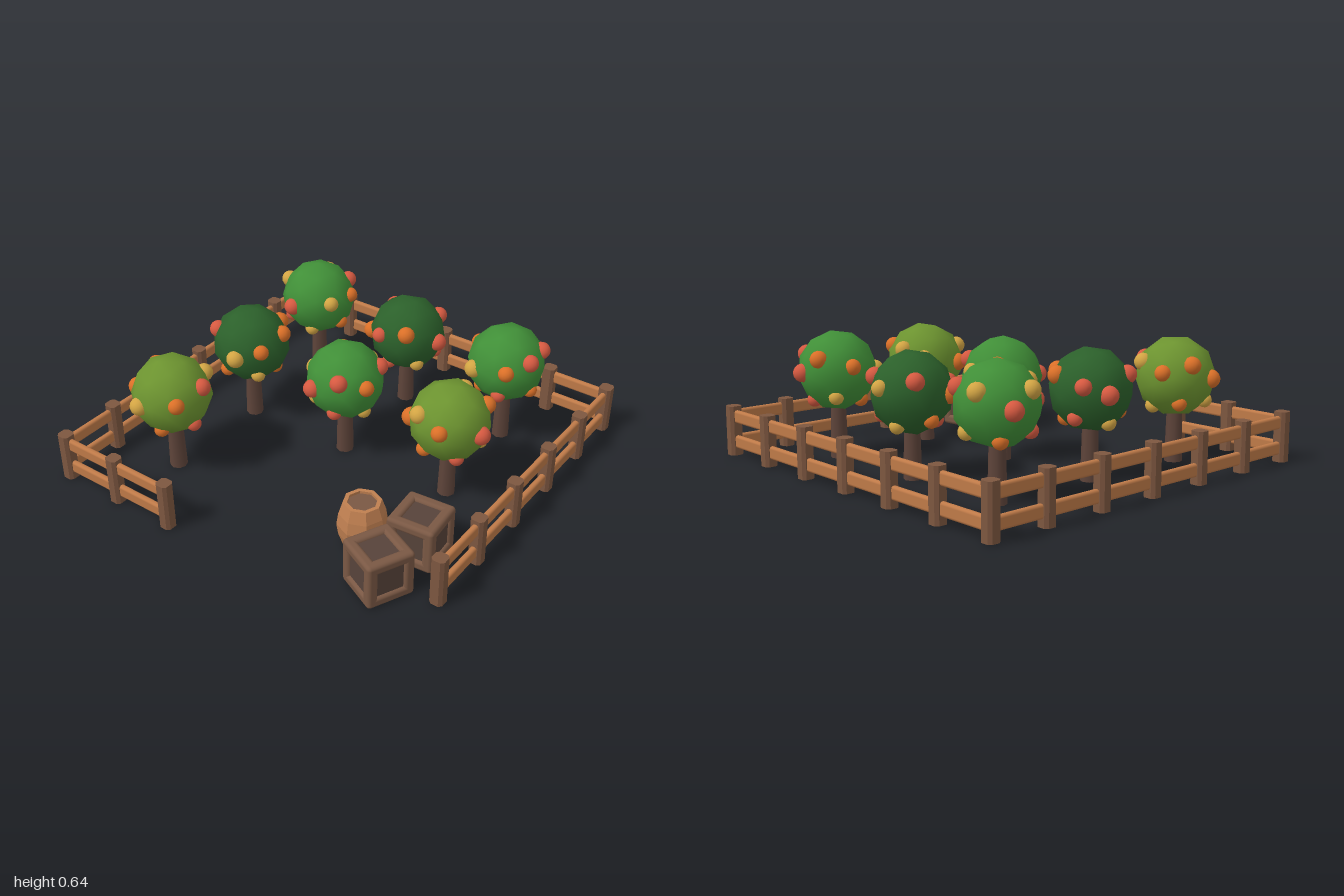
import * as THREE from 'three';
import { RoundedBoxGeometry } from 'three/addons/geometries/RoundedBoxGeometry.js';

const mat = (color, flatShading = false) => new THREE.MeshStandardMaterial({ color, flatShading });
const postMat = mat(0x7d5740), railMat = mat(0xbf7a48), trunkMat = mat(0x5e443a);
const crateMat = mat(0x7a5844), panelMat = mat(0x57433a), barrelMat = mat(0xbf7f50, true);
const leafMats = { medium: mat(0x419038), dark: mat(0x2c612b), olive: mat(0x6d9430) };
const fruitMats = { r: mat(0xd75a41), o: mat(0xdb7028), y: mat(0xd3a544) };

function add(parent, name, geometry, material, x = 0, y = 0, z = 0) {
  const mesh = new THREE.Mesh(geometry, material);
  mesh.name = name;
  mesh.position.set(x, y, z);
  parent.add(mesh);
  return mesh;
}

function group(parent, name, x = 0, y = 0, z = 0) {
  const g = new THREE.Group();
  g.name = name;
  g.position.set(x, y, z);
  parent.add(g);
  return g;
}

// Square post with chamfered upright edges
function postGeometry(w, h, c) {
  const a = w / 2, b = a - c;
  const pts = [[a, -b], [a, b], [b, a], [-b, a], [-a, b], [-a, -b], [-b, -a], [b, -a]];
  const shape = new THREE.Shape(pts.map(([x, y]) => new THREE.Vector2(x, y)));
  return new THREE.ExtrudeGeometry(shape, { depth: h, bevelEnabled: false }).rotateX(-Math.PI / 2);
}

// Fence along a run of posts; two rails span the whole run
const postGeo = postGeometry(0.066, 0.25, 0.014);
function fence(parent, name, points, skipFirst = false) {
  const g = group(parent, name);
  points.forEach(([x, z], i) => {
    if (!(skipFirst && i === 0)) add(g, 'fencePost', postGeo, postMat, x, 0, z);
  });
  const [x0, z0] = points[0], [x1, z1] = points[points.length - 1];
  const length = Math.hypot(x1 - x0, z1 - z0);
  for (const y of [0.07, 0.198]) {
    const rail = add(g, 'fenceRail', new RoundedBoxGeometry(length, 0.064, 0.03, 2, 0.013), railMat,
      (x0 + x1) / 2, y, (z0 + z1) / 2);
    rail.rotation.y = -Math.atan2(z1 - z0, x1 - x0);
  }
}

// Fruit tree; fruits are given as colour letter + azimuth seen from above
const canopyGeo = new THREE.IcosahedronGeometry(0.197, 1);
const fruitGeo = new THREE.IcosahedronGeometry(1, 2);
const trunkGeo = new THREE.CylinderGeometry(0.036, 0.044, 0.32, 8);
function tree(parent, i, { x, z, cy, leaf, fruit }) {
  const g = group(parent, 'fruitTree', x, 0, z);
  add(g, 'trunk', trunkGeo, trunkMat, 0, 0.16, 0);
  const canopy = add(g, 'canopy', canopyGeo, leafMats[leaf], 0, cy, 0);
  canopy.rotation.set(0.3 * i, 0.9 * i, 0.2 * i);
  const put = (color, azimuth, elevation, r) => {
    const a = THREE.MathUtils.degToRad(azimuth), e = THREE.MathUtils.degToRad(elevation);
    const d = 0.182;
    const f = add(g, 'fruit', fruitGeo, fruitMats[color],
      d * Math.cos(e) * Math.cos(a), cy + d * Math.sin(e), d * Math.cos(e) * Math.sin(a));
    f.scale.setScalar(r);
  };
  fruit.split(' ').forEach((s, k) => put(s[0], Number(s.slice(1)), [24, 0, 12][k % 3], [0.044, 0.046, 0.04][k % 3]));
  // Lower ring
  for (let k = 0; k < 5; k++) put('oyr'[(k + i) % 3], 72 * k + 37 * i, k % 2 ? -50 : -38, 0.037);
}

// Crate: twelve rounded edge beams around a recessed dark core
function crate(parent, x, z, angle) {
  const s = 0.235, t = 0.052, o = (s - t) / 2;
  const g = group(parent, 'crate', x, s / 2, z);
  g.rotation.y = angle;
  add(g, 'cratePanels', new THREE.BoxGeometry(s - 0.03, s - 0.03, s - 0.03), panelMat);
  for (const u of [-o, o]) for (const v of [-o, o]) {
    add(g, 'crateBeam', new RoundedBoxGeometry(s, t, t, 2, 0.018), crateMat, 0, u, v);
    add(g, 'crateBeam', new RoundedBoxGeometry(t, s, t, 2, 0.018), crateMat, u, 0, v);
    add(g, 'crateBeam', new RoundedBoxGeometry(t, t, s, 2, 0.018), crateMat, u, v, 0);
  }
}

// Eight-sided barrel with a sunken lid
function barrel(parent, x, z) {
  const g = group(parent, 'barrel', x, 0, z);
  const profile = [[0, 0], [0.09, 0], [0.11, 0.06], [0.119, 0.12], [0.11, 0.18], [0.09, 0.24], [0.07, 0.24], [0.07, 0.22]];
  add(g, 'barrelStaves', new THREE.LatheGeometry(profile.map(([r, y]) => new THREE.Vector2(r, y)), 8), barrelMat);
  add(g, 'barrelLid', new THREE.CylinderGeometry(0.072, 0.072, 0.01, 8), crateMat, 0, 0.222, 0);
}

export function createModel() {
  const model = new THREE.Group();
  model.name = 'orchard';

  // Fence on the back, both sides and part of the front
  const xs = [-0.967, -0.645, -0.322, 0, 0.322, 0.645, 0.967];
  const zs = [-0.957, -0.655, -0.332, -0.008, 0.314, 0.636, 0.952];
  fence(model, 'backFence', xs.map(x => [x, zs[0]]));
  fence(model, 'rightFence', zs.map(z => [xs[0], z]), true);
  fence(model, 'leftFence', zs.slice(0, 6).map(z => [xs[6], z]), true);
  fence(model, 'frontFence', xs.slice(0, 3).map(x => [x, zs[6]]), true);

  // Trees in rows
  [
    { x: -0.59, z: -0.583, cy: 0.44, leaf: 'medium', fruit: 'y252 r200 o343 y164 r103 y32 r307' },
    { x: -0.017, z: -0.594, cy: 0.41, leaf: 'dark', fruit: 'r212 r0 y270 r310 o150 r110 o60' },
    { x: 0.567, z: -0.6, cy: 0.44, leaf: 'medium', fruit: 'o246 r282 o190 r330 y123 o62 r20' },
    { x: -0.59, z: -0.01, cy: 0.43, leaf: 'dark', fruit: 'o293 r200 r237 r146 y77 o35 o340' },
    { x: -0.01, z: -0.027, cy: 0.42, leaf: 'medium', fruit: 'r327 y180 y278 r65 r115 o20 o230' },
    { x: 0.594, z: -0.027, cy: 0.425, leaf: 'olive', fruit: 'y260 r8 o75 y120 o152 y220 o320' },
    { x: -0.605, z: 0.57, cy: 0.425, leaf: 'olive', fruit: 'o203 y105 o250 r347 o163 o40 y300' },
  ].forEach((t, i) => tree(model, i, t));

  // Harvest containers
  crate(model, 0.73, 0.417, 0.09);
  crate(model, 0.703, 0.711, -0.44);
  barrel(model, 0.477, 0.513);
  return model;
}
